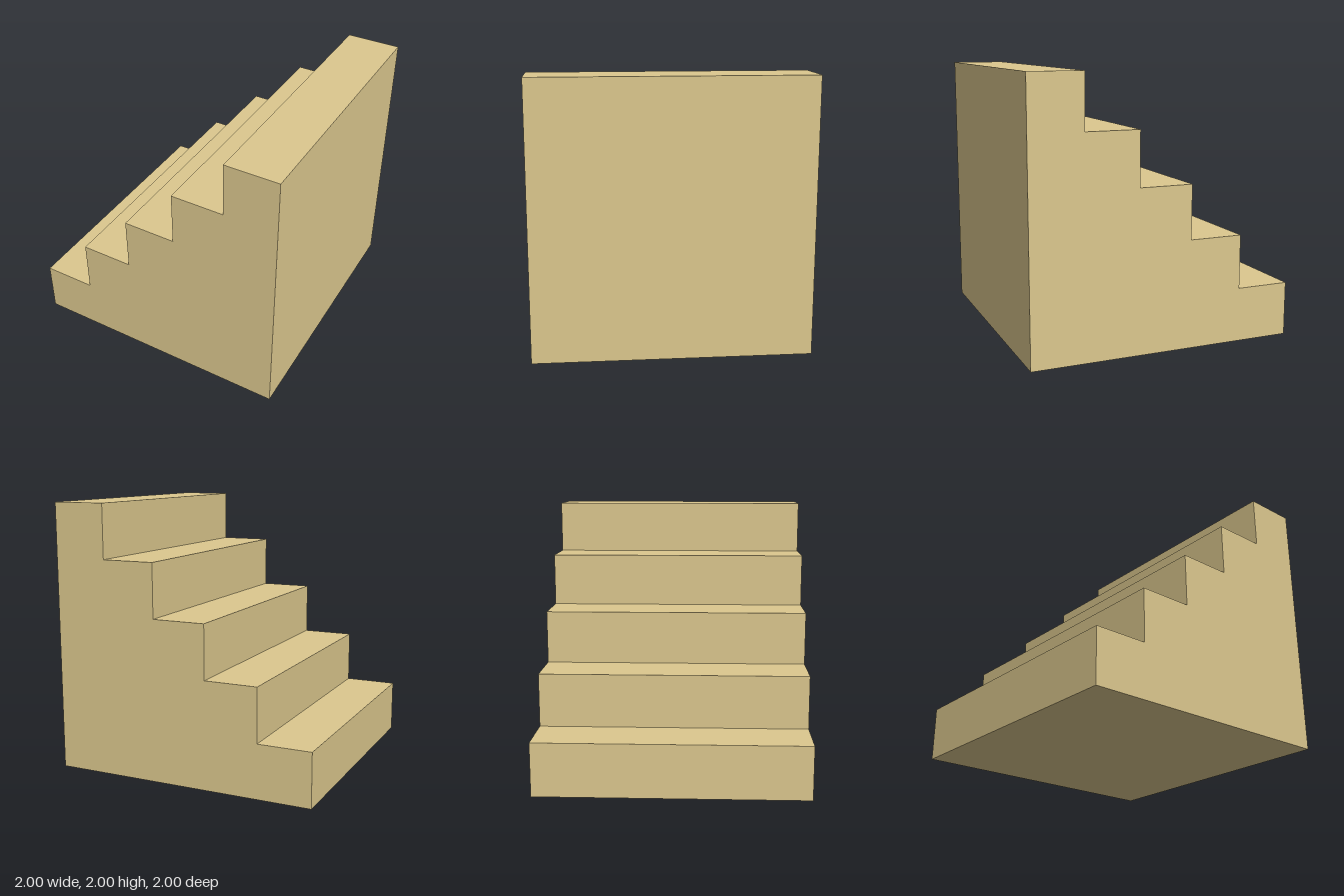
import * as THREE from 'three';

const STEPS = 5;
const SIZE = 2;
const STEP = SIZE / STEPS;

export function createModel() {
  const group = new THREE.Group();
  group.name = 'staircase';

  // Stepped side profile, climbing towards +x
  const profile = new THREE.Shape();
  profile.moveTo(-SIZE / 2, 0);
  profile.lineTo(SIZE / 2, 0);
  profile.lineTo(SIZE / 2, SIZE);
  for (let i = STEPS - 1; i >= 0; i--) {
    const x = -SIZE / 2 + i * STEP;
    profile.lineTo(x, (i + 1) * STEP); // tread
    if (i > 0) profile.lineTo(x, i * STEP); // riser
  }
  profile.closePath();

  // Solid block of stairs, extruded across the full depth
  const geometry = new THREE.ExtrudeGeometry(profile, { depth: SIZE, bevelEnabled: false });
  geometry.translate(0, 0, -SIZE / 2);
  const stairs = new THREE.Mesh(geometry, new THREE.MeshStandardMaterial({ color: 0xdcc88e }));
  stairs.name = 'steps';
  group.add(stairs);

  return group;
}
